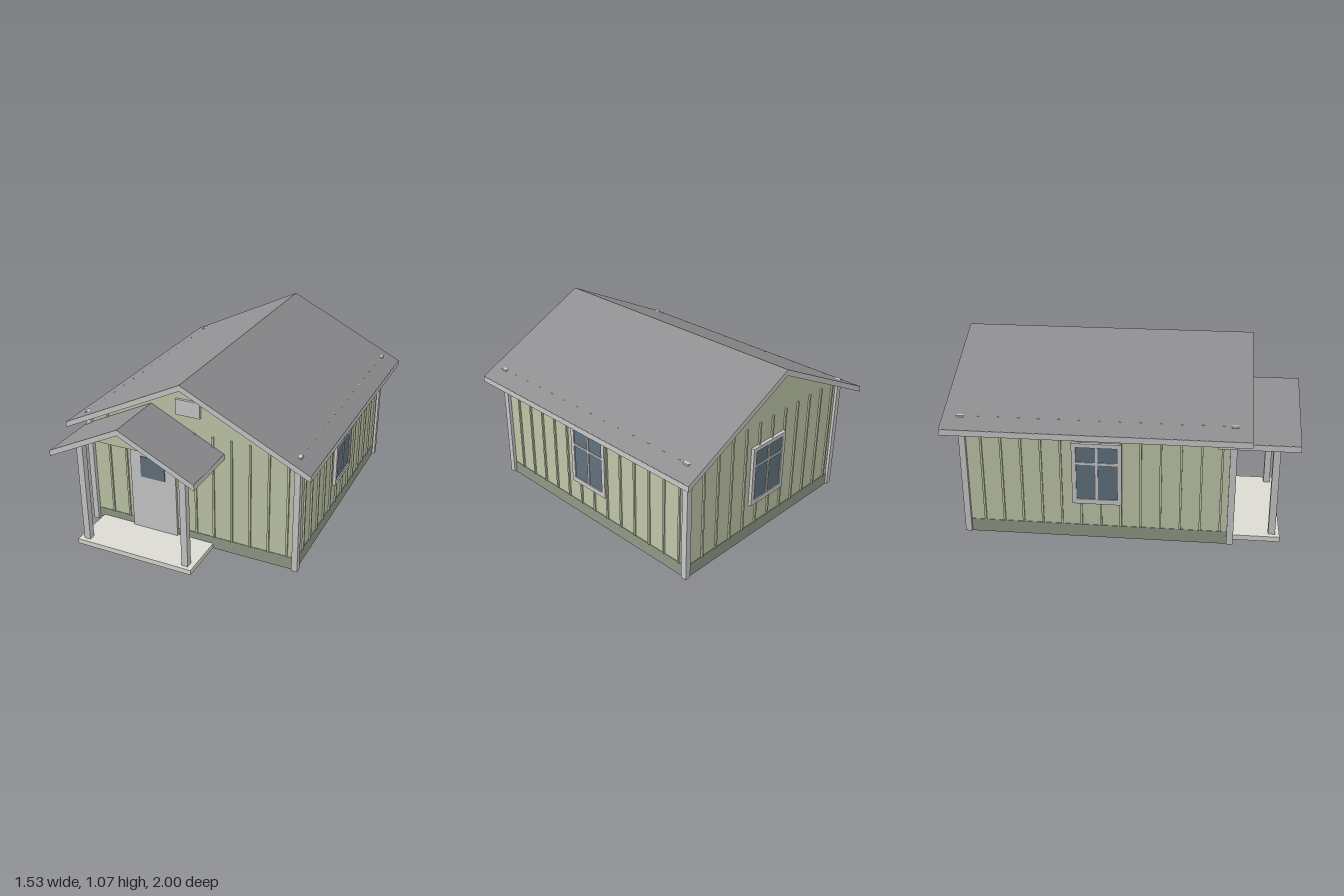
import * as THREE from 'three';

const paint = (color) => new THREE.MeshStandardMaterial({ color });

export function createModel() {
  const house = new THREE.Group();
  house.name = 'house';
  const trim = paint(0xcccccc), siding = paint(0xc2c9ab), skirt = paint(0x929c88);
  const roofing = paint(0x8f8f91), glass = paint(0x64747f), concrete = paint(0xdcdbd3);

  // box given by its min and max corners
  const box = (name, mat, x0, x1, y0, y1, z0, z1, parent = house) => {
    const m = new THREE.Mesh(new THREE.BoxGeometry(x1 - x0, y1 - y0, z1 - z0), mat);
    m.position.set((x0 + x1) / 2, (y0 + y1) / 2, (z0 + z1) / 2);
    m.name = name;
    parent.add(m);
    return m;
  };

  // outline in x and y, extruded from z0 to z1
  const slab = (name, mat, pts, z0, z1) => {
    const shape = new THREE.Shape(pts.map(([x, y]) => new THREE.Vector2(x, y)));
    const geo = new THREE.ExtrudeGeometry(shape, { depth: z1 - z0, bevelEnabled: false });
    geo.translate(0, 0, z0);
    const m = new THREE.Mesh(geo, mat);
    m.name = name;
    house.add(m);
  };

  // gabled roof with pale gable edges and eave boards
  const roof = (name, cx, half, ridge, eave, z0, z1) => {
    const t = 0.035;
    slab(name, [trim, roofing], [
      [cx - half, eave - t], [cx, ridge - t], [cx + half, eave - t],
      [cx + half, eave], [cx, ridge], [cx - half, eave],
    ], z0, z1);
    for (const s of [-1, 1]) {
      const x = cx + s * half;
      box(name + 'EaveBoard', trim, x - 0.001, x + 0.001, eave - t, eave - 0.001, z0, z1);
    }
  };

  const W = 0.66, F = 0.63, B = -0.9, T = 0.01;

  // walls
  const gable = [[-W, 0.005], [W, 0.005], [W, 0.713], [0, 1.042], [-W, 0.713]];
  slab('frontWall', siding, gable, F - T, F);
  slab('backWall', siding, gable, B, B + T);
  for (const s of [-1, 1]) {
    const x = s * (W - T / 2);
    box('sideWall', siding, x - T / 2, x + T / 2, 0.005, 0.713, B + T, F - T);
    // skirting along the sides
    box('sideSkirt', skirt, s * W - 0.003, s * W + 0.003, 0.003, 0.083, B, F);
  }
  for (const z of [F, B]) box('endSkirt', skirt, -W, W, 0.003, 0.083, z - 0.003, z + 0.003);

  // corner posts
  for (const s of [-1, 1]) {
    for (const [z0, z1] of [[0.617, 0.655], [-0.917, -0.88]]) {
      const x = s * 0.6625;
      box('cornerPost', trim, x - 0.0175, x + 0.0175, 0.01, 0.752, z0, z1);
    }
  }

  // vertical battens
  const step = 0.1143, w = 0.006, d = 0.01;
  for (let i = 0; i < 12; i++) {
    const x = 0.605 - i * step;
    box('frontBatten', siding, x - w, x + w, 0.083, 0.75, F, F + d);
    box('backBatten', siding, -x - w, -x + w, 0.083, 0.75, B - d, B);
  }
  for (let i = 0; i < 13; i++) {
    const zl = -0.847 + i * step, zr = -0.795 + i * step;
    box('leftBatten', siding, W, W + d, 0.083, 0.75, zl - w, zl + w);
    box('rightBatten', siding, -W - d, -W, 0.083, 0.75, zr - w, zr + w);
  }

  // roofs
  roof('mainRoof', 0, 0.765, 1.078, 0.7, -1, 0.735);
  roof('porchRoof', -0.24, 0.455, 0.882, 0.656, 0.55, 1);

  // windows: built facing +z, then turned onto a wall
  const addWindow = (name, x, z, turn) => {
    const g = new THREE.Group();
    g.name = name;
    const hw = 0.143, y0 = 0.23, y1 = 0.61, b = 0.025;
    for (const s of [-1, 1]) {
      const c = s * (hw - b / 2);
      box('windowStile', trim, c - b / 2, c + b / 2, y0, y1, 0, 0.02, g);
    }
    box('windowSill', trim, -hw + b, hw - b, y0, y0 + b + 0.005, 0, 0.02, g);
    box('windowHead', trim, -hw + b, hw - b, y1 - b, y1, 0, 0.02, g);
    box('windowPane', glass, -hw + b, hw - b, y0 + b, y1 - b, 0, 0.013, g);
    box('verticalBar', trim, -0.007, 0.007, y0 + b, y1 - b, 0.005, 0.018, g);
    box('horizontalBar', trim, -hw + b, hw - b, 0.478, 0.492, 0.005, 0.018, g);
    g.position.set(x, 0, z);
    g.rotation.y = turn;
    house.add(g);
  };
  addWindow('leftWindow', W, -0.13, Math.PI / 2);
  addWindow('rightWindow', -W, -0.13, -Math.PI / 2);
  addWindow('backWindow', 0, B, Math.PI);

  // door and gable vent
  box('door', trim, -0.39, -0.09, 0.035, 0.61, F - 0.002, 0.65);
  box('doorGlass', glass, -0.32, -0.16, 0.395, 0.53, 0.645, 0.656);
  box('gableVent', trim, -0.077, 0.075, 0.85, 0.945, F - 0.002, 0.645);

  // porch
  box('porchFloor', concrete, -0.615, 0.14, 0.005, 0.036, F, 0.925);
  for (const x of [-0.565, 0.09]) {
    box('porchPost', trim, x - 0.02, x + 0.02, 0.036, 0.69, 0.86, 0.9);
  }
  slab('porchGable', siding, [[-0.52, 0.71], [0.04, 0.71], [-0.24, 0.85]], 0.875, 0.885);

  return house;
}
